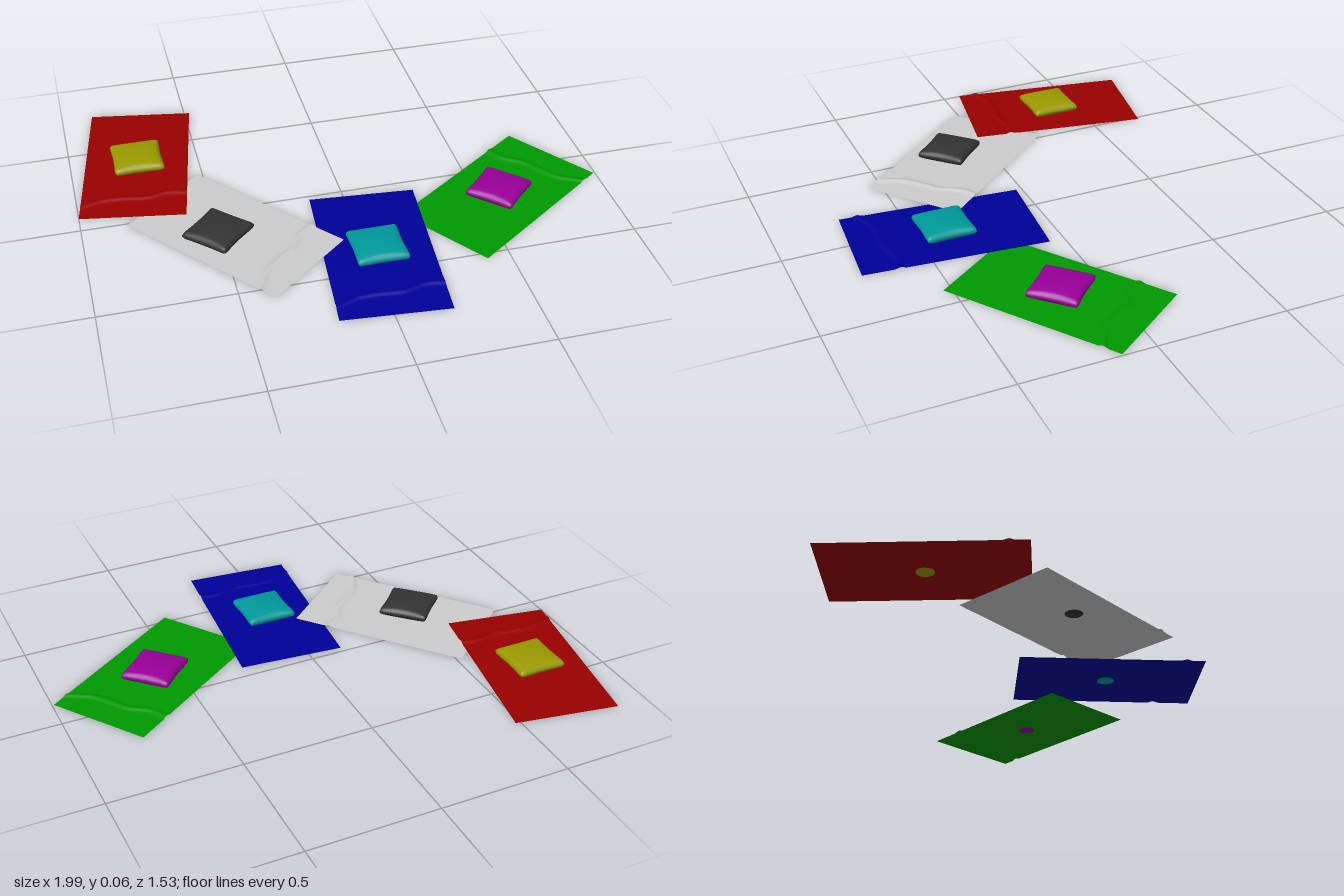
import * as THREE from 'three';
import { mergeVertices } from 'three/addons/utils/BufferGeometryUtils.js';

const MAT_W = 0.404, MAT_L = 0.708;

// Wavy line along which each mat is rucked up: (across, along)
const ruck = new THREE.SplineCurve([
  [-0.21, 0.288], [-0.16, 0.262], [-0.1, 0.238], [0, 0.234],
  [0.05, 0.234], [0.13, 0.205], [0.21, 0.212],
].map(([x, z]) => new THREE.Vector2(x, z))).getPoints(120);

function ruckAt(x) {
  let i = 0;
  while (i < ruck.length - 2 && ruck[i + 1].x < x) i++;
  const a = ruck[i], b = ruck[i + 1];
  return a.y + (b.y - a.y) * (x - a.x) / (b.x - a.x);
}

// Thin sheet with a low ridge near one end
function matGeometry() {
  const g = new THREE.PlaneGeometry(MAT_W, MAT_L, 32, 120).rotateX(-Math.PI / 2);
  const p = g.attributes.position;
  for (let i = 0; i < p.count; i++) {
    const d = (p.getZ(i) - ruckAt(p.getX(i))) / 0.013;
    p.setY(i, 0.0065 * Math.exp(-d * d));
  }
  g.computeVertexNormals();
  return g;
}

// Pillow: domed above and below, sides drawn in between the corners
function cushionGeometry() {
  let g = new THREE.BoxGeometry(2, 2, 2, 24, 6, 24);
  g.deleteAttribute('uv');
  g.deleteAttribute('normal');
  g = mergeVertices(g);
  const p = g.attributes.position;
  for (let i = 0; i < p.count; i++) {
    const x = p.getX(i), y = p.getY(i), z = p.getZ(i);
    const dome = Math.sqrt(Math.max(0, (1 - x * x) * (1 - z * z)));
    const rim = Math.max(Math.abs(x), Math.abs(z)) ** 8;
    const round = 1 - 0.05 * y * y * rim;             // rounded rim
    const corner = 1 - 0.05 * (x * z) ** 8;           // softened corners
    const s = 0.1 * round * corner;
    p.setXYZ(i,
      s * x * (1 - 0.06 * (1 - z * z)),
      y * (0.011 + 0.016 * dome),
      s * z * (1 - 0.06 * (1 - x * x)));
  }
  g.computeVertexNormals();
  return g;
}

export function createModel() {
  const model = new THREE.Group();
  model.name = 'matsWithCushions';
  const matGeo = matGeometry(), cushionGeo = cushionGeometry();

  // Listed from the lowest mat to the uppermost
  const sets = [
    { name: 'green', mat: [0.588, 0.163, 124.9, 0x009900], cushion: [0.586, 0.16, 45, 0x990099] },
    { name: 'blue', mat: [0.039, 0.393, -5, 0x000099], cushion: [0.038, 0.388, 0, 0x009999] },
    { name: 'grey', mat: [-0.447, 0.153, 39.8, 0xcccccc], cushion: [-0.509, 0.16, 45, 0x333333] },
    { name: 'red', mat: [-0.74, -0.385, -10, 0x990000], cushion: [-0.737, -0.387, 0, 0x999900] },
  ];

  sets.forEach(({ name, mat, cushion }, i) => {
    const group = new THREE.Group();
    group.name = name + 'Set';
    group.position.y = i * 0.0004;

    const add = (part, geo, [x, z, angle, color], y, side) => {
      const mesh = new THREE.Mesh(geo, new THREE.MeshStandardMaterial({ color, side }));
      mesh.name = part;
      mesh.position.set(x, y, z);
      mesh.rotation.y = THREE.MathUtils.degToRad(angle);
      group.add(mesh);
    };
    add('mat', matGeo, mat, 0.001, THREE.DoubleSide);
    add('cushion', cushionGeo, cushion, 0.027, THREE.FrontSide);
    model.add(group);
  });
  return model;
}
